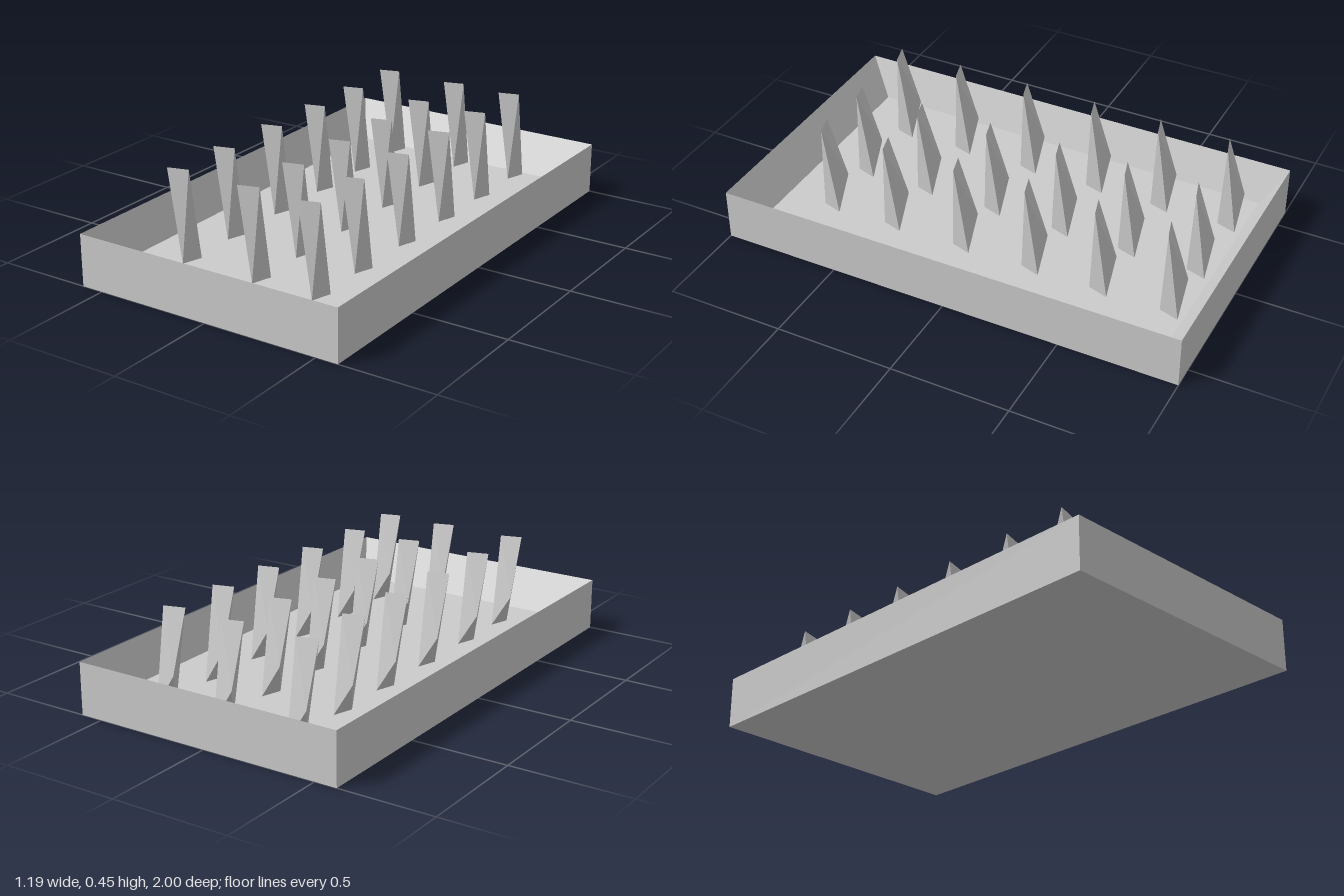
import * as THREE from 'three';
import { ConvexGeometry } from 'three/addons/geometries/ConvexGeometry.js';

const material = new THREE.MeshStandardMaterial({ color: 0xcccccc, flatShading: true });

// Four corners of a rectangle at height y, anticlockwise seen from above
const loop = (w, y, d) => [[-w, y, d], [w, y, d], [w, y, -d], [-w, y, -d]];

// Tray: loops run from the base up the outside to a sharp rim, then down to the floor
function trayGeometry() {
  const loops = [loop(0.595, 0, 1), loop(0.595, 0.22, 1), loop(0.53, 0.06, 0.9)];
  const pos = [];
  const quad = (a, b, c, d) => pos.push(...a, ...b, ...c, ...a, ...c, ...d);
  for (let k = 0; k < loops.length - 1; k++) {
    for (let i = 0; i < 4; i++) {
      const j = (i + 1) % 4;
      quad(loops[k][i], loops[k][j], loops[k + 1][j], loops[k + 1][i]);
    }
  }
  quad(...loops[2]); // floor
  quad(...[...loops[0]].reverse()); // underside
  const g = new THREE.BufferGeometry();
  g.setAttribute('position', new THREE.Float32BufferAttribute(pos, 3));
  g.computeVertexNormals();
  return g;
}

// Spike: slanted chisel edge on top, a floor edge below and one raised back corner
function spikeGeometry() {
  return new ConvexGeometry([
    new THREE.Vector3(0, 0.45, 0), // top edge
    new THREE.Vector3(0.087, 0.45, -0.025),
    new THREE.Vector3(0.06, 0.06, 0), // floor edge
    new THREE.Vector3(0.087, 0.06, -0.085),
    new THREE.Vector3(0, 0.2, -0.085), // raised back corner
  ]);
}

export function createModel() {
  const model = new THREE.Group();
  model.name = 'spikedTray';

  const tray = new THREE.Mesh(trayGeometry(), material);
  tray.name = 'tray';
  model.add(tray);

  // Grid of spikes, three columns by six rows
  const spikes = new THREE.Group();
  spikes.name = 'spikes';
  const geometry = spikeGeometry();
  for (const x of [-0.382, -0.045, 0.232]) {
    for (const z of [0.724, 0.435, 0.115, -0.197, -0.495, -0.795]) {
      const spike = new THREE.Mesh(geometry, material);
      spike.name = 'spike';
      spike.position.set(x, 0, z);
      spikes.add(spike);
    }
  }
  model.add(spikes);
  return model;
}
